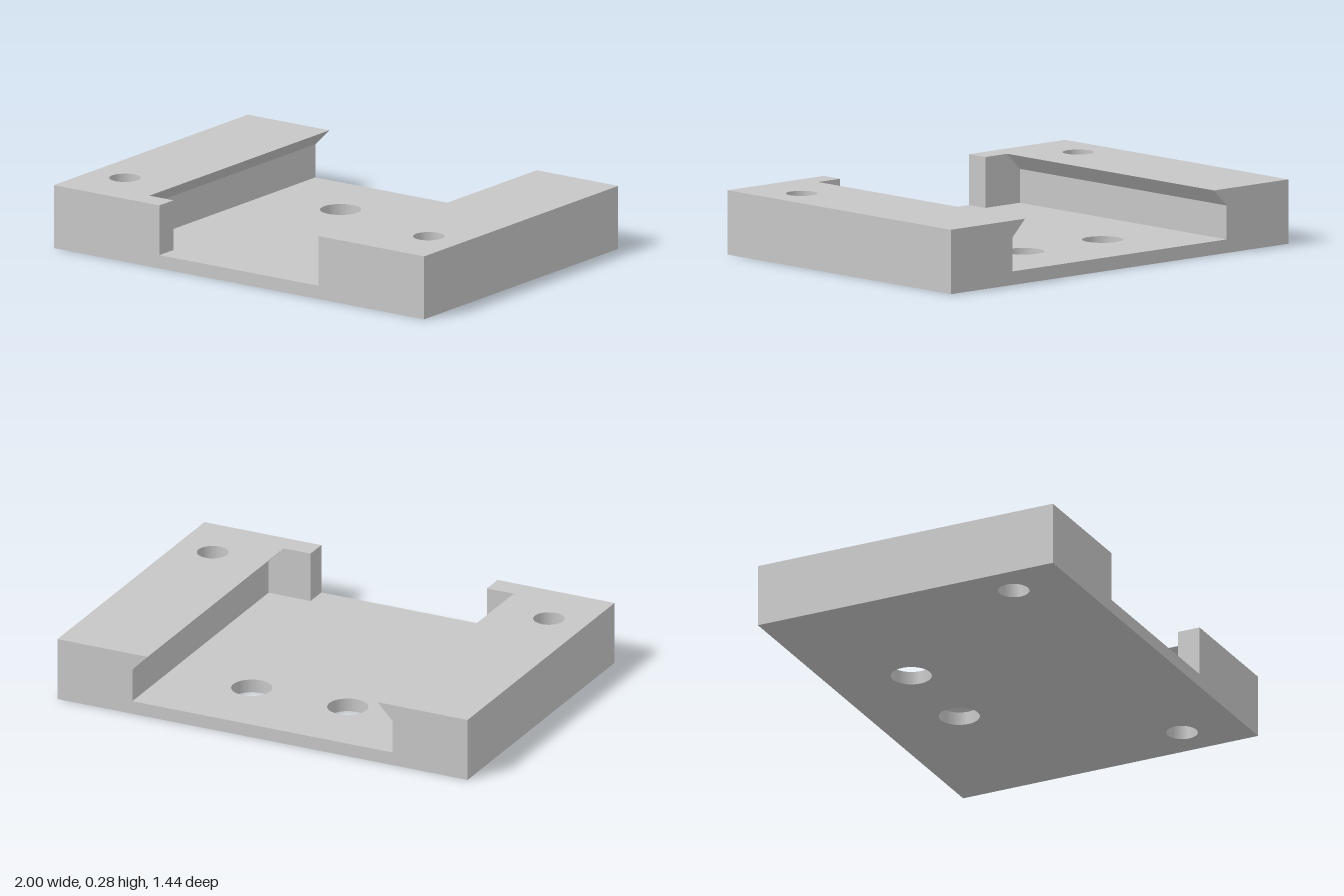
import * as THREE from 'three';

const HALF_X = 1, HALF_Z = 0.72, FLOOR = 0.06, HEIGHT = 0.285;
const SLOT_TOP = 0.56, SLOT_BASE = 0.635; // undercut channel half-widths
const STOP_X = 0.43, STOP_Z = 0.615;      // front stops narrowing the channel

// Outline from [x, z] points, with round holes [x, z, radius]
function planShape(points, holes) {
  const shape = new THREE.Shape(points.map(([x, z]) => new THREE.Vector2(x, -z)));
  for (const [x, z, r] of holes) {
    shape.holes.push(new THREE.Path().absarc(x, -z, r, 0, Math.PI * 2, false));
  }
  return shape;
}

// Extrude a plan outline upwards from y0 to y1
function extrudeUp(shape, y0, y1, steps = 1) {
  return new THREE.ExtrudeGeometry(shape, { depth: y1 - y0, steps, curveSegments: 24, bevelEnabled: false })
    .rotateX(-Math.PI / 2)
    .translate(0, y0, 0);
}

export function createModel() {
  const group = new THREE.Group();
  group.name = 'mountingPlate';
  const grey = new THREE.MeshStandardMaterial({ color: 0xc6c6c6 });
  grey.name = 'lightGrey';

  const add = (name, geometry) => {
    const mesh = new THREE.Mesh(geometry, grey);
    mesh.name = name;
    group.add(mesh);
  };
  const railHole = (s) => [s * 0.82, 0.439, 0.069];

  // Floor plate with two large channel holes and two rail holes
  const floor = planShape(
    [[-HALF_X, -HALF_Z], [HALF_X, -HALF_Z], [HALF_X, HALF_Z], [-HALF_X, HALF_Z]],
    [[-0.234, -0.355, 0.09], [0.234, -0.355, 0.09], railHole(-1), railHole(1)]
  );
  add('floorPlate', extrudeUp(floor, 0, FLOOR));

  // Side rails: L-shaped in plan, upper third leaning over the channel
  for (const s of [-1, 1]) {
    const outline = [
      [HALF_X, -HALF_Z], [HALF_X, HALF_Z], [STOP_X, HALF_Z],
      [STOP_X, STOP_Z], [SLOT_BASE, STOP_Z], [SLOT_BASE, -HALF_Z]
    ].map(([x, z]) => [s * x, z]);
    const geometry = extrudeUp(planShape(outline, [railHole(s)]), FLOOR, HEIGHT, 3);
    const p = geometry.attributes.position;
    for (let i = 0; i < p.count; i++) {
      if (p.getY(i) > HEIGHT - 0.01 && Math.abs(p.getX(i) - s * SLOT_BASE) < 0.001) {
        p.setX(i, s * SLOT_TOP);
      }
    }
    geometry.computeVertexNormals();
    add(s > 0 ? 'leftRail' : 'rightRail', geometry);
  }
  return group;
}
